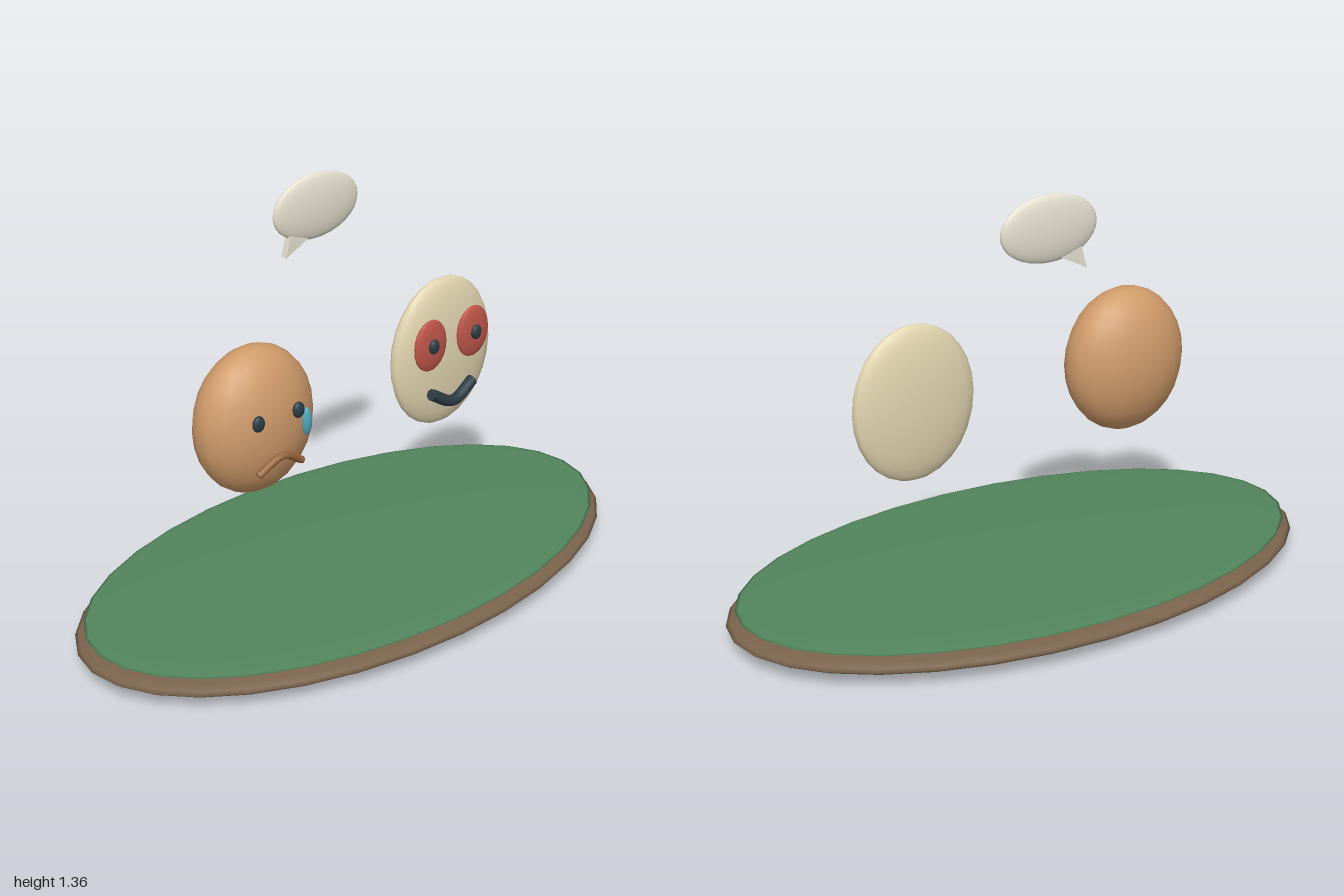
import * as THREE from 'three';

const colors = {
  rim: 0x7a634c, grass: 0x52855c, tan: 0xd09b6a, cream: 0xe2d5b0, red: 0xc0564a,
  dark: 0x2c3c44, tear: 0x55a5b5, lip: 0x9c683f, bubble: 0xe6e1d0,
};
const materials = Object.fromEntries(
  Object.entries(colors).map(([k, color]) => [k, new THREE.MeshStandardMaterial({ color })]));

function part(parent, name, geometry, material) {
  const mesh = new THREE.Mesh(geometry, materials[material]);
  mesh.name = name;
  parent.add(mesh);
  return mesh;
}

// Smooth sphere stretched to the given radii
function ellipsoid(parent, name, material, center, radii, segments = 16, rows = 12) {
  const geometry = new THREE.SphereGeometry(1, segments, rows).scale(...radii);
  part(parent, name, geometry, material).position.set(...center);
}

// Curved mouth: a tube through end, middle and end, closed by round caps
function mouth(parent, name, material, halfWidth, bend, endZ, middleZ, y, radius) {
  const points = [
    new THREE.Vector3(-halfWidth, y, endZ),
    new THREE.Vector3(0, y + bend, middleZ),
    new THREE.Vector3(halfWidth, y, endZ),
  ];
  const curve = new THREE.CatmullRomCurve3(points);
  part(parent, name, new THREE.TubeGeometry(curve, 16, radius, 8), material);
  for (const t of [0, 1]) {
    const cap = part(parent, name + 'End', new THREE.CircleGeometry(radius, 8), material);
    const direction = curve.getTangent(t).multiplyScalar(t ? 1 : -1);
    cap.position.copy(curve.getPoint(t));
    cap.quaternion.setFromUnitVectors(new THREE.Vector3(0, 0, 1), direction);
  }
}

export function createModel() {
  const model = new THREE.Group();

  // Oval island: earth underneath, grass on top
  ellipsoid(model, 'earthBase', 'rim', [0, 0.06, 0], [1, 0.06, 0.545], 32, 20);
  ellipsoid(model, 'grassTop', 'grass', [0, 0.105, 0], [0.97, 0.018, 0.525], 32, 20);

  // Sad face
  const sad = new THREE.Group();
  sad.name = 'sadFace';
  sad.position.set(-0.38, 0.71, 0);
  model.add(sad);
  ellipsoid(sad, 'sadHead', 'tan', [0, 0, 0], [0.208, 0.24, 0.132], 20, 14);
  for (const side of [-1, 1])
    ellipsoid(sad, 'sadEye', 'dark', [side * 0.075, 0.052, 0.126], [0.021, 0.026, 0.014]);
  ellipsoid(sad, 'tear', 'tear', [0.115, -0.002, 0.115], [0.018, 0.046, 0.014]);
  mouth(sad, 'frown', 'lip', 0.083, 0.045, 0.13, 0.141, -0.117, 0.012);

  // Happy face: thin disc-like head with big red eyes
  const happy = new THREE.Group();
  happy.name = 'happyFace';
  happy.position.set(0.376, 0.71, 0);
  model.add(happy);
  ellipsoid(happy, 'happyHead', 'cream', [0, 0, 0], [0.208, 0.255, 0.05], 20, 14);
  for (const side of [-1, 1]) {
    ellipsoid(happy, 'redEye', 'red', [side * 0.09, 0.06, 0.053], [0.068, 0.088, 0.016]);
    ellipsoid(happy, 'pupil', 'dark', [side * 0.09, 0.062, 0.071], [0.02, 0.025, 0.013]);
  }
  mouth(happy, 'smile', 'dark', 0.09, -0.045, 0.06, 0.067, -0.11, 0.019);

  // Speech bubble with a pointed tail
  const bubble = new THREE.Group();
  bubble.name = 'speechBubble';
  bubble.position.set(0, 1.25, -0.165);
  model.add(bubble);
  ellipsoid(bubble, 'bubbleBody', 'bubble', [0, 0, 0], [0.167, 0.106, 0.025], 24, 16);
  const tail = new THREE.Shape([
    new THREE.Vector2(-0.127, -0.14), new THREE.Vector2(-0.04, -0.095), new THREE.Vector2(-0.108, -0.07),
  ]);
  part(bubble, 'bubbleTail', new THREE.ExtrudeGeometry(tail, { depth: 0.024, bevelEnabled: false }), 'bubble')
    .position.z = -0.012;

  return model;
}
